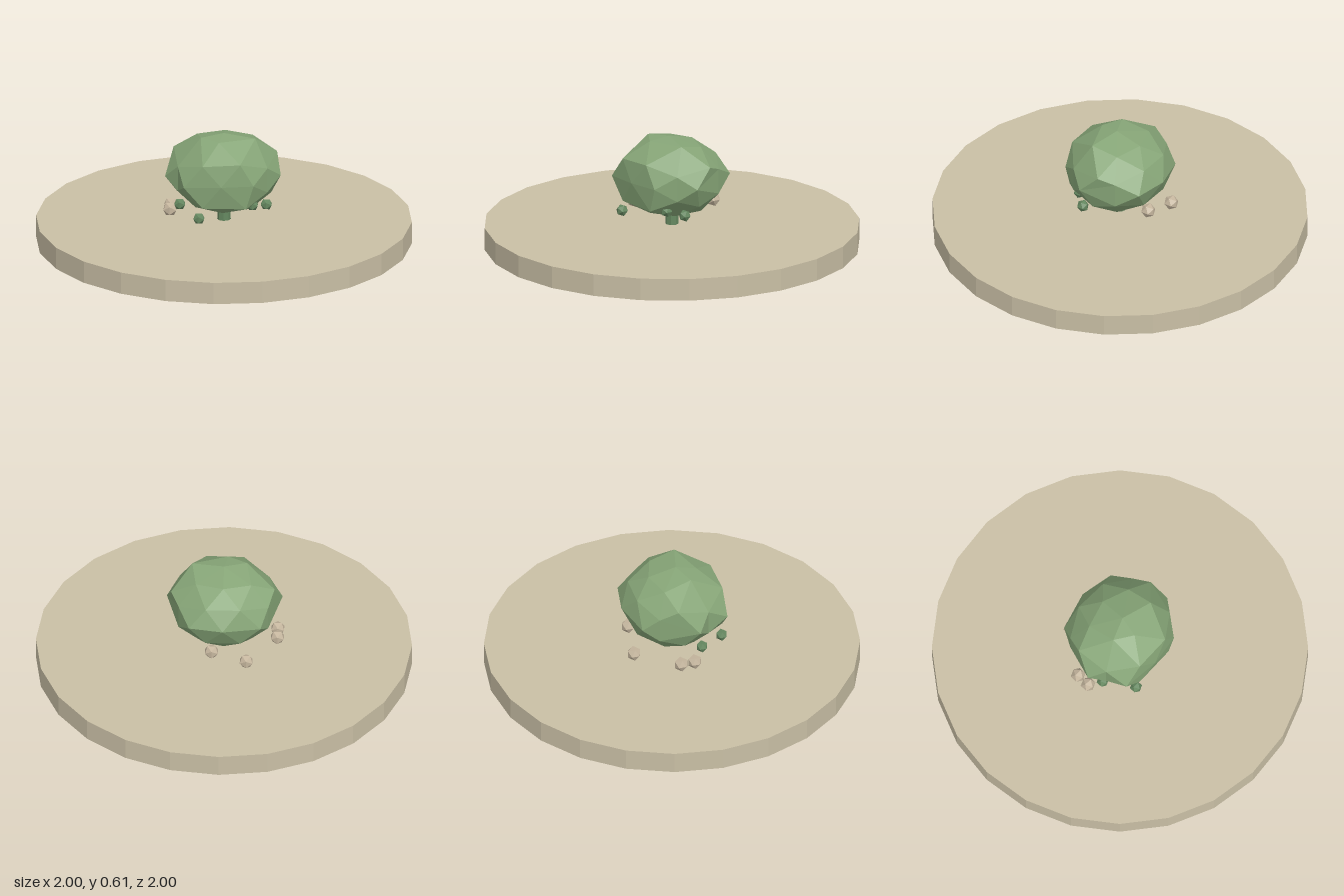
import * as THREE from 'three';

const material = (name, color) => {
  const m = new THREE.MeshStandardMaterial({ color, flatShading: true });
  m.name = name;
  return m;
};

// Faceted crown: a squashed icosphere with chosen corners pulled into an uneven shape
function crownGeometry() {
  const geo = new THREE.IcosahedronGeometry(1, 1).rotateY(Math.PI / 2);
  geo.scale(0.295, 0.22, 0.27).translate(0, 0.39, 0);
  const pos = geo.attributes.position;
  const base = Array.from({ length: pos.count }, (_, i) => new THREE.Vector3().fromBufferAttribute(pos, i));
  const corners = [
    // flattened front panel
    [-0.2, 0.38, 0.25], [0.17, 0.39, 0.235], [-0.1, 0.5, 0.25], [0.1, 0.51, 0.24],
    [-0.1, 0.265, 0.25], [0.13, 0.26, 0.235], [0, 0.39, 0.265],
    // sides and back
    [0.305, 0.39, 0.05], [-0.31, 0.38, 0.07], [0, 0.4, -0.28], [0.18, 0.4, -0.25],
    [-0.2, 0.38, -0.22], [0.28, 0.49, -0.05], [-0.27, 0.51, -0.04],
    // top and bottom
    [-0.02, 0.595, 0.13], [0, 0.575, -0.13], [0.17, 0.598, 0.06], [-0.12, 0.6, 0.07],
    [0, 0.612, 0.02], [0, 0.17, 0],
  ];
  for (const c of corners) {
    const target = new THREE.Vector3(...c);
    const nearest = base.reduce((a, b) => (b.distanceTo(target) < a.distanceTo(target) ? b : a));
    base.forEach((p, i) => {
      if (p.distanceTo(nearest) < 1e-3) pos.setXYZ(i, ...c);
    });
  }
  geo.computeVertexNormals();
  return geo;
}

export function createModel() {
  const group = new THREE.Group();
  const stone = material('sand', 0xc9bfa5);
  const leaf = material('leaf green', 0x86a577);
  const dark = material('dark green', 0x64875f);
  const pale = material('pale bud', 0xc4b59d);

  const add = (name, geo, mat, x = 0, y = 0, z = 0) => {
    const mesh = new THREE.Mesh(geo, mat);
    mesh.name = name;
    mesh.position.set(x, y, z);
    group.add(mesh);
    return mesh;
  };

  // Round base, stem and crown
  add('base', new THREE.CylinderGeometry(1, 1, 0.12, 24), stone, 0, 0.06, 0);
  add('stem', new THREE.CylinderGeometry(0.032, 0.036, 0.16, 8), dark, 0, 0.2, 0);
  add('crown', crownGeometry(), leaf);

  // Small buds hanging round the lower edge
  const greenBud = new THREE.IcosahedronGeometry(0.033, 0);
  const paleBud = new THREE.IcosahedronGeometry(0.04, 0);
  [[-0.12, 0.205, 0.24], [0.23, 0.235, 0.08], [-0.23, 0.235, 0.1], [0.16, 0.255, 0.15]]
    .forEach((p) => add('greenBud', greenBud, dark, ...p));
  [[0.06, 0.23, -0.225], [-0.125, 0.183, -0.245], [-0.285, 0.183, -0.03], [-0.285, 0.185, 0.045]]
    .forEach((p) => add('paleBud', paleBud, pale, ...p));

  return group;
}
